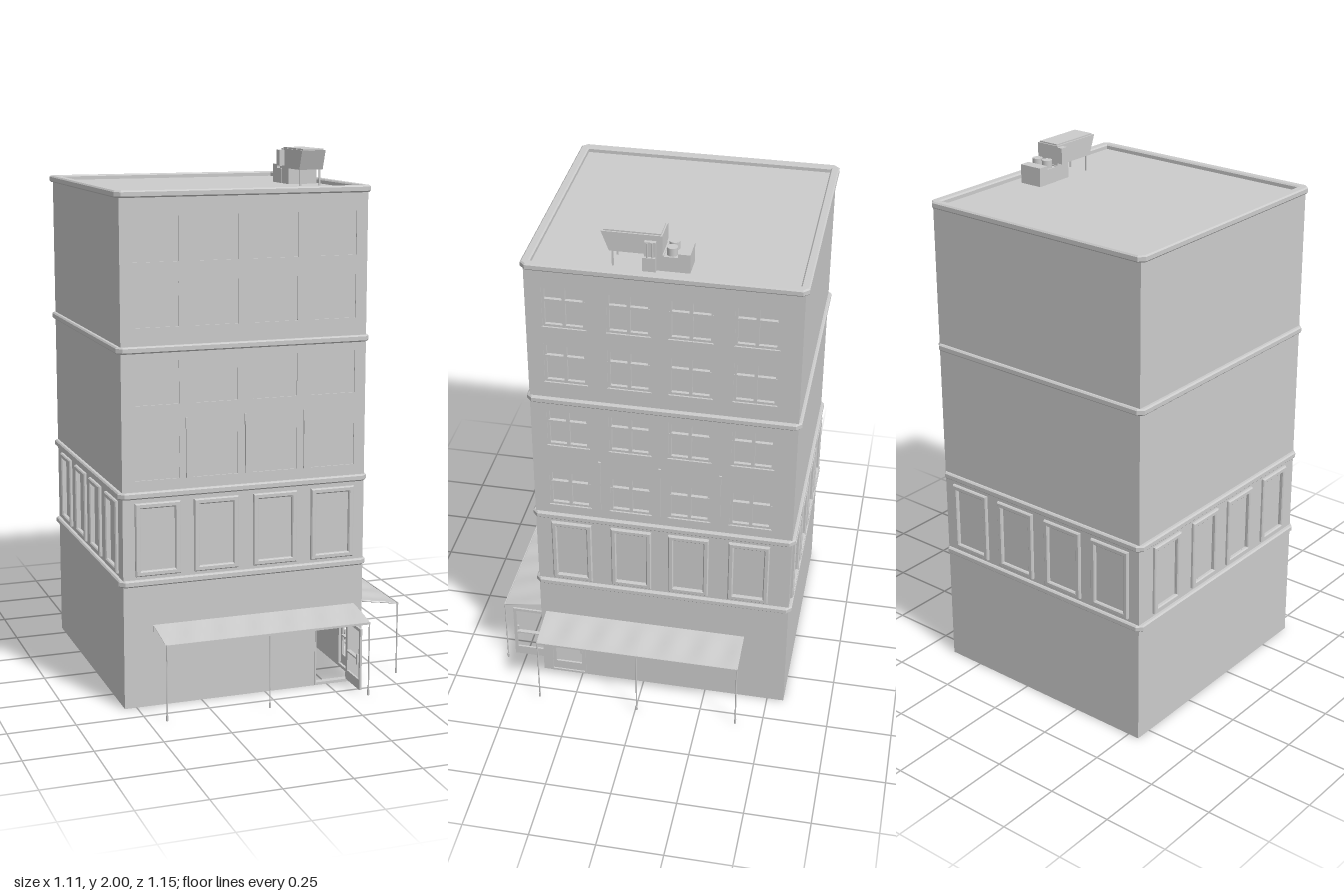
import * as THREE from 'three';

const grey = new THREE.MeshStandardMaterial({ color: 0xcccccc, side: THREE.DoubleSide });
const solid = new THREE.MeshStandardMaterial({ color: 0xcccccc });

function add(parent, name, geometry, x = 0, y = 0, z = 0, material = solid) {
  const mesh = new THREE.Mesh(geometry, material);
  mesh.name = name;
  mesh.position.set(x, y, z);
  parent.add(mesh);
  return mesh;
}

// Box given by its minimum and maximum corners
function box(parent, name, x0, x1, y0, y1, z0, z1) {
  return add(parent, name, new THREE.BoxGeometry(x1 - x0, y1 - y0, z1 - z0),
    (x0 + x1) / 2, (y0 + y1) / 2, (z0 + z1) / 2);
}

function group(parent, name) {
  const g = new THREE.Group();
  g.name = name;
  parent.add(g);
  return g;
}

const corners = (x0, x1, y0, y1) =>
  [[x0, y0], [x1, y0], [x1, y1], [x0, y1]].map(([x, y]) => new THREE.Vector2(x, y));

// Extruded rectangle with rectangular openings
function panel(x0, x1, y0, y1, holes, depth) {
  const shape = new THREE.Shape(corners(x0, x1, y0, y1));
  holes.forEach(h => shape.holes.push(new THREE.Path(corners(...h).reverse())));
  return new THREE.ExtrudeGeometry(shape, { depth, bevelEnabled: false });
}

// Horizontal cornice with cut corners, optionally hollow
function cornice(parent, name, y, h, hollow) {
  const x0 = -0.555, x1 = 0.398, z0 = -0.572, z1 = 0.417, c = 0.017;
  const shape = new THREE.Shape([[x0 + c, z0], [x1 - c, z0], [x1, z0 + c], [x1, z1 - c],
    [x1 - c, z1], [x0 + c, z1], [x0, z1 - c], [x0, z0 + c]].map(([x, z]) => new THREE.Vector2(x, -z)));
  if (hollow) shape.holes.push(new THREE.Path(corners(-0.53, 0.375, -0.395, 0.55)));
  const b = 0.005;
  const geo = new THREE.ExtrudeGeometry(shape,
    { depth: h - 2 * b, bevelSize: b, bevelThickness: b, bevelSegments: 1 });
  geo.rotateX(-Math.PI / 2);
  add(parent, name, geo, 0, y + b, 0);
}

// Glazed door leaf, hinged at its local origin
function door(parent, name) {
  const g = group(parent, name);
  add(g, 'doorFrame', panel(0, 0.13, 0.012, 0.25, [[0.012, 0.118, 0.05, 0.238]], 0.008));
  box(g, 'pushBar', 0.012, 0.118, 0.126, 0.132, -0.004, 0.012);
  box(g, 'doorHandle', 0.112, 0.12, 0.11, 0.15, 0.008, 0.016);
  return g;
}

// Sloping, gently rippled canopy in two bays on thin posts
function awning(parent, u0, u1) {
  const g = group(parent, 'awning'), mid = (u0 + u1) / 2, out = 0.163;
  for (const [a, b] of [[u0, mid], [mid, u1]]) {
    const geo = new THREE.PlaneGeometry(b - a, 1, 40, 4);
    const p = geo.attributes.position;
    for (let i = 0; i < p.count; i++) {
      const t = 0.5 - p.getY(i), u = p.getX(i) + (a + b) / 2;
      const ripple = 0.003 * Math.cos((u - a) / (b - a) * Math.PI * 6) * Math.sin(Math.PI * t);
      p.setXYZ(i, u, 0.309 - 0.028 * t + ripple, out * t);
    }
    geo.computeVertexNormals();
    add(g, 'canopy', geo, 0, 0, 0, grey);
    box(g, 'canopyEdge', a, b, 0.276, 0.284, out - 0.004, out);
    box(g, 'wallRail', a, b, 0.282, 0.304, 0, 0.004);
  }
  for (const u of [u0 + 0.003, mid, u1 - 0.003]) {
    add(g, 'post', new THREE.CylinderGeometry(0.0028, 0.0028, 0.28, 8), u, 0.14, out - 0.003);
    add(g, 'postFoot', new THREE.CylinderGeometry(0.0045, 0.0045, 0.02, 8), u, 0.01, out - 0.003);
    const arm = new THREE.LineCurve3(new THREE.Vector3(u, 0.306, 0), new THREE.Vector3(u, 0.28, out));
    add(g, 'awningArm', new THREE.TubeGeometry(arm, 1, 0.002, 6));
  }
}

// One facade: u runs along the wall, z points outward
function facade(parent, spec) {
  const g = group(parent, spec.name);
  g.position.set(...spec.at);
  g.rotation.y = spec.turn;
  const { u0, u1, starts, w } = spec;
  const t = 0.02;
  const tall = starts.map(s => [s + 0.012, s + w - 0.012, 0.51, 0.757]);
  const rows = spec.windows ? [[0.85, 1.005], [1.122, 1.28], [1.4, 1.56], [1.63, 1.79]] : [];
  const small = rows.flatMap(([a, b]) => starts.map(s => [s, s + w, a, b]));
  const doors = spec.door === undefined ? [] : [[spec.door, spec.door + 0.13, 0.012, 0.25]];
  add(g, 'wall', panel(u0, u1, 0, 1.87, [...tall, ...small, ...doors], t), 0, 0, -t, grey);

  // Tall framed showcase windows
  for (const [a, b, c, d] of tall) {
    box(g, 'tallPane', a, b, c, d, -0.014, -0.01);
    const ring = new THREE.Shape(corners(a - 0.008, b + 0.008, c - 0.008, d + 0.008));
    ring.holes.push(new THREE.Path(corners(a + 0.004, b - 0.004, c + 0.004, d - 0.004).reverse()));
    add(g, 'tallFrame', new THREE.ExtrudeGeometry(ring,
      { depth: 0.008, bevelSize: 0.004, bevelThickness: 0.004, bevelSegments: 1 }), 0, 0, 0);
  }
  // Upper windows, with mullions and sills on the detailed side
  const recess = spec.detailed ? 0.016 : 0.005;
  for (const [a, b, c, d] of small) {
    box(g, 'pane', a, b, c, d, -recess - 0.003, -recess);
    if (!spec.detailed) continue;
    const m = (a + b) / 2, y = c + (d - c) * 0.66;
    box(g, 'mullion', m - 0.006, m + 0.006, c, d, -recess, -0.002);
    box(g, 'transom', a, b, y - 0.005, y + 0.005, -recess, -0.002);
    add(g, 'sash', panel(a, b, c, d, [[a + 0.009, b - 0.009, c + 0.009, d - 0.009]], recess - 0.003), 0, 0, -recess);
    box(g, 'sill', a - 0.003, b + 0.003, c - 0.006, c, -recess, 0.004);
  }
  // Slim fins between the lowest upper windows
  if (spec.windows) for (let i = 0; i < 3; i++) {
    const u = (starts[i] + w + starts[i + 1]) / 2;
    box(g, 'fin', u - 0.002, u + 0.002, 0.85, 1.07, 0, 0.007);
    box(g, 'finCap', u - 0.005, u + 0.005, 1.03, 1.07, 0, 0.006);
  }
  if (spec.awning) awning(g, ...spec.awning);
  if (doors.length) {
    const leaf = door(g, 'door');
    leaf.position.set(spec.door + (spec.open ? 0.13 : 0), 0, spec.open ? 0.004 : -0.01);
    if (spec.open) leaf.rotation.y = -Math.PI / 2;
    const [a, b, c, d] = doors[0];
    add(g, 'doorCasing', panel(a - 0.005, b + 0.005, 0.003, d + 0.005, [[a, b, c, d]], 0.004));
  }
}

// Ventilation plant on the roof
function roofPlant(parent) {
  const g = group(parent, 'roofPlant'), floor = 1.862;
  const duct = new THREE.Shape([[0.148, 1.995], [0.12, 1.922], [-0.065, 1.922], [-0.065, 1.995]]
    .map(([z, y]) => new THREE.Vector2(-z, y)));
  const geo = new THREE.ExtrudeGeometry(duct, { depth: 0.094, bevelEnabled: false });
  geo.rotateY(Math.PI / 2);
  add(g, 'duct', geo, 0.236, 0, 0);
  box(g, 'ductLid', 0.242, 0.324, 1.995, 2.0, -0.06, 0.14);
  for (const x of [0.245, 0.322]) box(g, 'leg', x - 0.003, x + 0.003, floor, 1.925, 0.106, 0.112);
  box(g, 'sideVent', 0.215, 0.236, 1.93, 1.99, -0.065, -0.035);
  box(g, 'ductBase', 0.24, 0.33, floor, 1.922, -0.07, 0.0);
  box(g, 'controlBox', 0.33, 0.355, floor, 1.92, -0.045, 0);
  box(g, 'controlCabinet', 0.33, 0.345, 1.92, 1.975, -0.045, -0.005);
  for (const z of [-0.035, -0.016]) {
    add(g, 'controlPipe', new THREE.CylinderGeometry(0.003, 0.003, 0.06, 8), 0.35, 1.945, z);
  }
  box(g, 'fanHousing', 0.238, 0.33, floor, 1.918, -0.162, -0.07);
  box(g, 'fanStep', 0.238, 0.33, 1.918, 1.932, -0.162, -0.12);
  for (const x of [0.261, 0.306]) {
    add(g, 'fan', new THREE.CylinderGeometry(0.019, 0.019, 0.03, 20), x, 1.932, -0.096);
  }
}

export function createModel() {
  const model = new THREE.Group();
  model.name = 'building';
  const fx = [-0.5, -0.278, -0.05, 0.177], rz = [-0.35, -0.12, 0.1, 0.33];
  const mirror = (list, w) => list.map(s => -(s + w)).reverse();

  facade(model, { name: 'frontFacade', at: [0, 0, 0.41], turn: 0, u0: -0.545, u1: 0.39, starts: fx, w: 0.17,
    windows: true, door: 0.205, open: true, awning: [-0.435, 0.355] });
  facade(model, { name: 'leftFacade', at: [0.39, 0, 0], turn: Math.PI / 2, u0: -0.41, u1: 0.565, starts: rz, w: 0.155,
    windows: true, detailed: true, door: -0.37, awning: [-0.39, 0.4] });
  facade(model, { name: 'backFacade', at: [0, 0, -0.565], turn: Math.PI, u0: -0.39, u1: 0.545,
    starts: mirror(fx, 0.17), w: 0.17 });
  facade(model, { name: 'rightFacade', at: [-0.545, 0, 0], turn: -Math.PI / 2, u0: -0.565, u1: 0.41,
    starts: mirror(rz, 0.155), w: 0.155 });

  // Underside, roof deck and cornices
  const base = add(model, 'underside', new THREE.PlaneGeometry(0.935, 0.975), -0.0775, 0.001, -0.0775);
  base.rotation.x = Math.PI / 2;
  box(model, 'roofDeck', -0.54, 0.385, 1.85, 1.862, -0.56, 0.405);
  [0.46, 0.785, 1.31].forEach(y => cornice(model, 'cornice', y, 0.025, false));
  cornice(model, 'parapet', 1.855, 0.025, true);
  roofPlant(model);
  return model;
}
